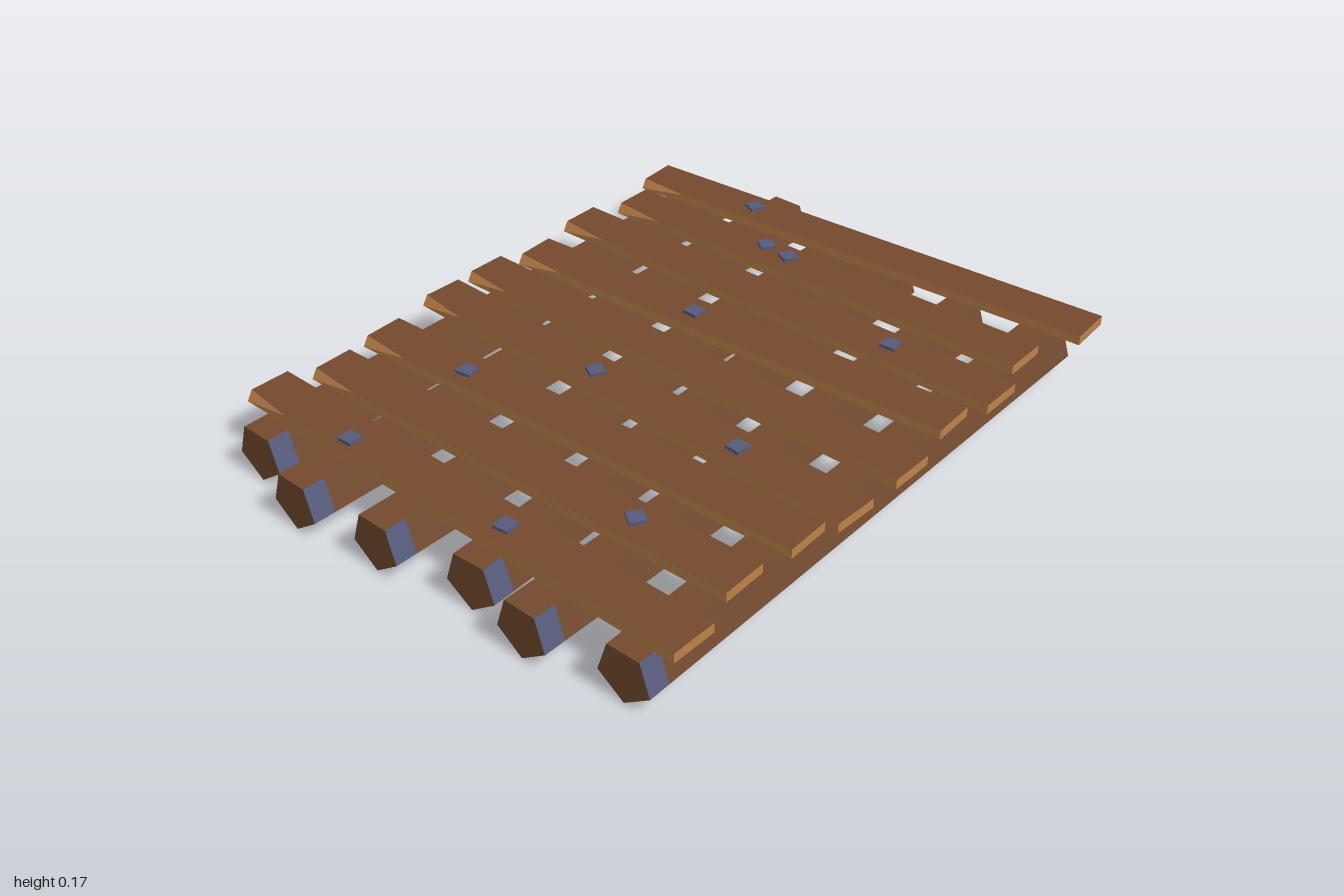
import * as THREE from 'three';
import { mergeGeometries } from 'three/addons/utils/BufferGeometryUtils.js';

const paint = (name, color) => {
  const m = new THREE.MeshStandardMaterial({ color, side: THREE.DoubleSide });
  m.name = name;
  return m;
};

// One flat polygon, corners anticlockwise seen from outside.
function face(...corners) {
  const pos = [];
  for (let i = 1; i < corners.length - 1; i++) pos.push(...corners[0], ...corners[i], ...corners[i + 1]);
  const g = new THREE.BufferGeometry();
  g.setAttribute('position', new THREE.Float32BufferAttribute(pos, 3));
  g.computeVertexNormals();
  return g;
}

function part(name, material, faces) {
  const mesh = new THREE.Mesh(mergeGeometries(faces), material);
  mesh.name = name;
  return mesh;
}

const BEAM_TOP = 0.137, PLANK_TOP = 0.161;

// Five-sided log, point down, open along the underside; runs along local x.
function makeBeam(length, wood, steel) {
  const h = length / 2, band = -h + 0.06;
  const R = BEAM_TOP / 1.809, wide = 0.951 * R, narrow = 0.588 * R, low = 0.691 * R;
  const profile = [[0, 0], [wide, low], [narrow, BEAM_TOP], [-narrow, BEAM_TOP], [-wide, low]]; // z, y
  const at = (x, i) => [x, profile[i][1], profile[i][0]];
  const ring = [0, 1, 2, 3, 4];
  const side = (x0, x1, i) => face(at(x0, i), at(x1, i), at(x1, i + 1), at(x0, i + 1));
  const g = new THREE.Group();
  g.add(part('beamBody', wood, [
    side(band, h, 1), side(-h, h, 2), side(-h, h, 3),
    face(...ring.map(i => at(-h, i))),
    face(...ring.map(i => at(h, i)).reverse()),
  ]));
  g.add(part('beamEndBand', steel, [side(-h, band, 1)]));
  return g;
}

// Board open underneath, with the rear left top corner shaved; runs along local z.
function makePlank(length, wood, cutWood) {
  const h = length / 2, w = 0.0625, chip = 0.016, b = BEAM_TOP - 0.002, t = PLANK_TOP;
  const top = [[-w, t, h], [w, t, h], [w, t, -h], [chip - w, t, -h], [-w, t, 0.15 - h]];
  const base = [[-w, b, h], [w, b, h], [w, b, -h], [-w, b, -h], [-w, b, 0.15 - h]];
  const g = new THREE.Group();
  g.add(part('plankTop', wood, [face(...top)]));
  g.add(part('plankEdges', cutWood, top.map((p, i) => {
    const j = (i + 1) % top.length;
    return face(base[i], base[j], top[j], p);
  })));
  return g;
}

export function createModel() {
  const model = new THREE.Group();
  model.name = 'woodenRaft';
  const wood = paint('brown wood', 0x734a2e);
  const cutWood = paint('pale cut wood', 0xbd8149);
  const steel = paint('blue steel', 0x565b7c);

  // Beams: left-hand end x, z, then right-hand end x, z
  const beams = [
    [-0.96, -0.39, 0.69, -0.715], [-0.985, -0.17, 0.80, -0.49], [-0.915, 0.075, 0.78, -0.23],
    [-0.82, 0.32, 0.815, -0.06], [-0.82, 0.515, 0.805, 0.22], [-0.73, 0.755, 0.905, 0.42],
  ];
  for (const [x0, z0, x1, z1] of beams) {
    const beam = makeBeam(Math.hypot(x1 - x0, z1 - z0), wood, steel);
    beam.name = 'beam';
    beam.position.set((x0 + x1) / 2, 0, (z0 + z1) / 2);
    beam.rotation.y = Math.atan2(z0 - z1, x1 - x0);
    model.add(beam);
  }

  // Planks: back end x, z, then front end x, z
  const planks = [
    [-0.85, -0.54, -0.605, 0.83], [-0.68, -0.53, -0.405, 0.75], [-0.505, -0.583, -0.205, 0.727],
    [-0.28, -0.658, -0.065, 0.728], [-0.12, -0.692, 0.145, 0.69], [0.04, -0.688, 0.36, 0.612],
    [0.245, -0.762, 0.525, 0.61], [0.43, -0.755, 0.70, 0.528], [0.577, -0.834, 0.935, 0.537],
  ];
  for (const [x0, z0, x1, z1] of planks) {
    const plank = makePlank(Math.hypot(x1 - x0, z1 - z0), wood, cutWood);
    plank.name = 'plank';
    plank.position.set((x0 + x1) / 2, 0, (z0 + z1) / 2);
    plank.rotation.y = Math.atan2(x1 - x0, z1 - z0);
    model.add(plank);
  }

  // Square nail heads: x, z, turn
  const nails = [
    [-0.81, -0.20, 0.25], [-0.44, -0.275, 0.35], [-0.705, 0.295, 0.3], [-0.465, 0.45, -0.4],
    [-0.19, -0.08, -0.3], [-0.12, 0.385, 0.1], [0.175, -0.145, 0.15], [0.465, 0.285, 0.3],
    [0.55, -0.295, -0.4], [0.555, -0.21, -0.3], [0.67, -0.485, -0.25],
  ];
  const nailGeometry = new THREE.BoxGeometry(0.042, 0.009, 0.042);
  for (const [x, z, turn] of nails) {
    const nail = new THREE.Mesh(nailGeometry, steel);
    nail.name = 'nailHead';
    nail.position.set(x, PLANK_TOP + 0.0045, z);
    nail.rotation.y = turn;
    model.add(nail);
  }
  return model;
}
